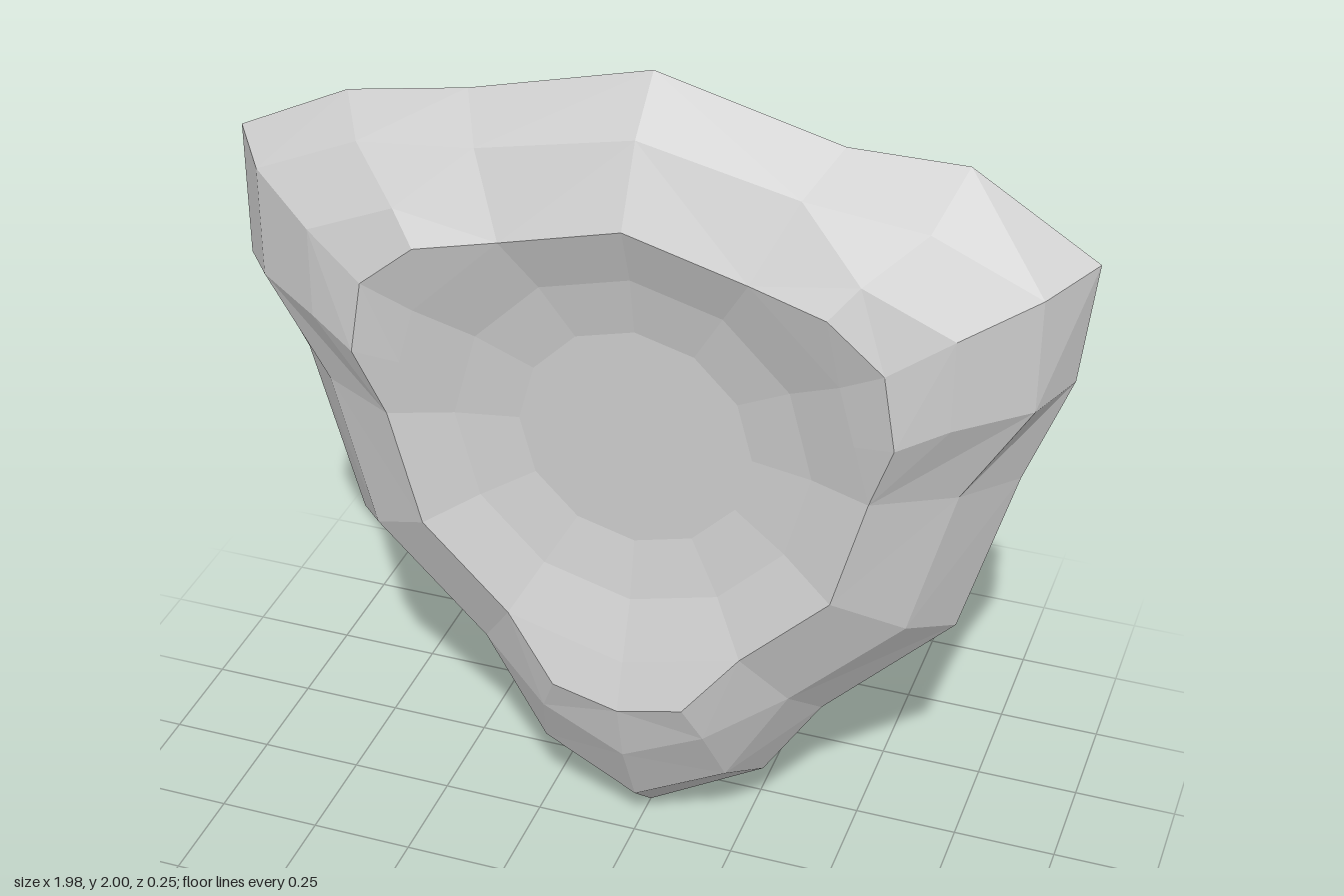
import * as THREE from 'three';

// Spoke angles (degrees from the top) for one half of the plate
const ANGLES = [0, 30, 45, 60, 75, 90, 120, 150, 165, 180];
const CENTRE_Y = 1.145;

// Closes a half ring by mirroring it across x = 0
function mirrored(half, otherHalf = half) {
  const left = otherHalf.slice(1, -1).reverse().map(([x, y, z]) => [-x, y, z]);
  return [...half, ...left];
}

const atDepth = (points, z) => points.map(([x, y]) => [x, y, z]);

// Half of a twelve-sided ring; the extra spokes sit on the chord midpoints
function craterHalf(radius, z) {
  return ANGLES.map((deg) => {
    const a = THREE.MathUtils.degToRad(deg);
    const r = deg % 30 ? radius * Math.cos(Math.PI / 12) : radius;
    return [r * Math.sin(a), CENTRE_Y + r * Math.cos(a), z];
  });
}

// Flat-shaded mesh from strips between rings, with optional end caps
function ringMesh(name, rings, capCentre, material) {
  const pos = [];
  const tri = (a, b, c) => pos.push(...a, ...b, ...c);
  const n = rings[0].length;
  for (let i = 0; i < n; i++) {
    const j = (i + 1) % n;
    for (let r = 0; r < rings.length - 1; r++) {
      const a = rings[r], b = rings[r + 1];
      // Mirror the diagonal so both halves match
      if (i < n / 2) {
        tri(a[i], b[i], b[j]);
        tri(a[i], b[j], a[j]);
      } else {
        tri(a[i], b[i], a[j]);
        tri(b[i], b[j], a[j]);
      }
    }
    const last = rings[rings.length - 1];
    if (capCentre) tri(last[i], capCentre, last[j]);
  }
  const geometry = new THREE.BufferGeometry();
  geometry.setAttribute('position', new THREE.Float32BufferAttribute(pos, 3));
  geometry.computeVertexNormals();
  const mesh = new THREE.Mesh(geometry, material);
  mesh.name = name;
  return mesh;
}

export function createModel() {
  const group = new THREE.Group();
  group.name = 'crateredPlate';
  const material = new THREE.MeshStandardMaterial({ color: 0xcccccc, flatShading: true });

  // Slightly uneven outer outline, on the back plane
  const outlineRight = atDepth([[0, 2], [0.43, 1.89], [0.7, 1.89], [0.99, 1.71], [0.96, 1.42],
    [0.86, 1.15], [0.74, 0.72], [0.43, 0.4], [0.29, 0.175], [0, 0]], -0.125);
  const outlineLeft = atDepth([[0, 2], [0.43, 1.89], [0.72, 1.84], [0.99, 1.71], [0.99, 1.38],
    [0.86, 1.15], [0.74, 0.72], [0.42, 0.4], [0.24, 0.175], [0, 0]], -0.125);
  const outline = mirrored(outlineRight, outlineLeft);

  // Bevel halfway up the outer slope
  const bevel = mirrored(atDepth([[0, 1.89], [0.37, 1.81], [0.65, 1.78], [0.9, 1.67], [0.9, 1.4],
    [0.75, 1.15], [0.65, 0.77], [0.38, 0.5], [0.23, 0.235], [0, 0.11]], -0.005));

  // Crater rings, from the rim down to the floor
  const rimHalf = craterHalf(0.57, 0.085);
  const rim = mirrored(rimHalf);
  const wall = mirrored(craterHalf(0.425, 0.03));
  const floor = mirrored(craterHalf(0.278, 0));

  // Raised lobes replace the rim at the upper corners and the bottom
  const withLobes = (lobes) => mirrored(rimHalf.map((p, i) => lobes[i] ?? p));
  const shoulder = withLobes({
    2: [0.53, 1.68, 0.085], 3: [0.74, 1.59, 0.085], 4: [0.74, 1.37, 0.085],
    8: [0.2, 0.4, 0.085], 9: [0, 0.3, 0.085],
  });
  const crest = withLobes({
    2: [0.47, 1.61, 0.125], 3: [0.6, 1.5, 0.125], 4: [0.63, 1.32, 0.125],
    8: [0.16, 0.5, 0.125], 9: [0, 0.46, 0.125],
  });

  group.add(ringMesh('outerSlope', [outline, bevel, shoulder], null, material));
  group.add(ringMesh('raisedLobes', [shoulder, crest, rim], null, material));
  group.add(ringMesh('crater', [rim, wall, floor], [0, CENTRE_Y, 0], material));

  // Flat back, wound the other way round
  const back = ringMesh('backFace', [[...outline].reverse()], [0, CENTRE_Y, -0.125], material);
  group.add(back);
  return group;
}
